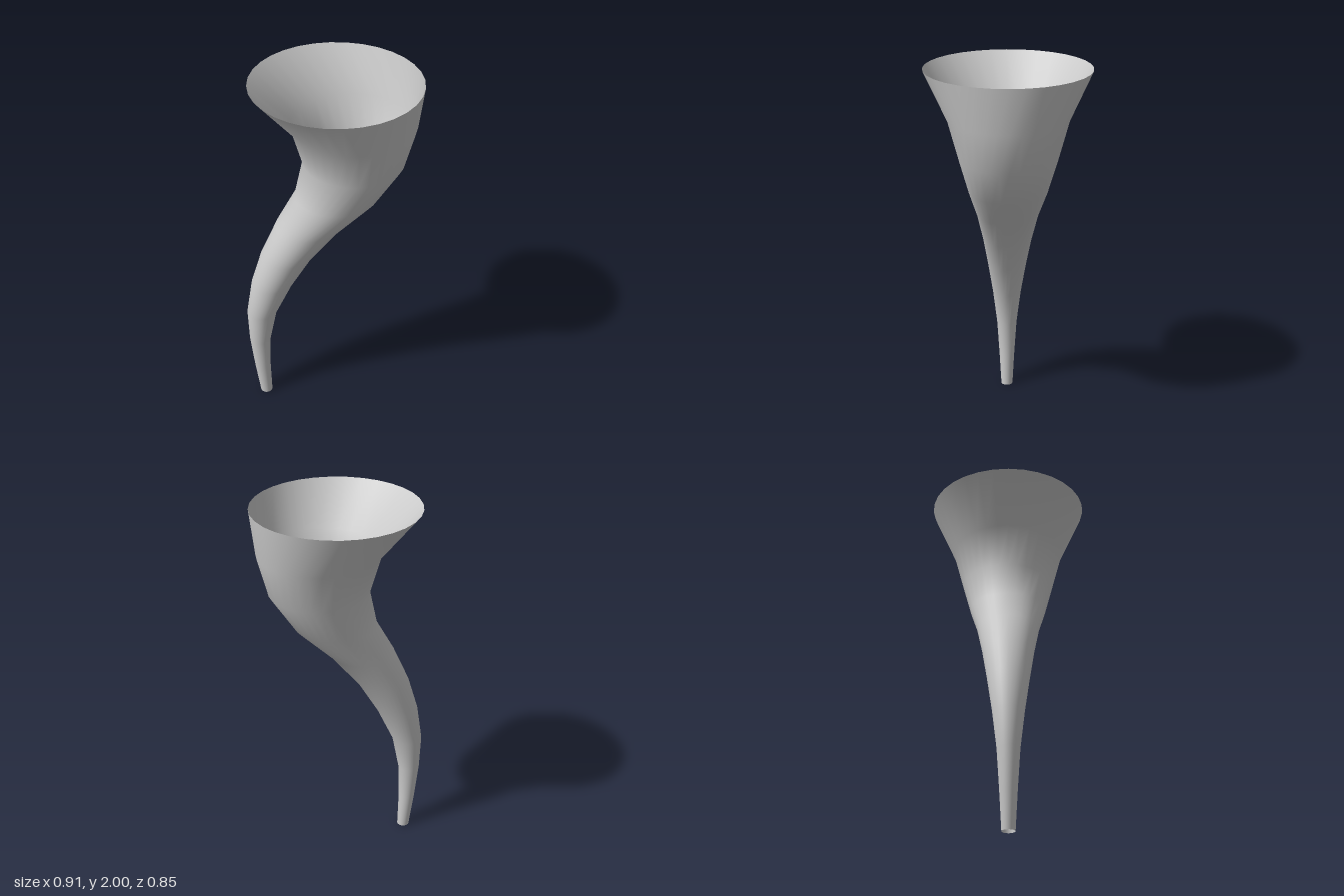
import * as THREE from 'three';

// Horizontal cross-sections, bottom to top: height, centre x, radius in x, radius in z
const RINGS = [
  [0, -0.372, 0.033, 0.033],
  [0.2, -0.387, 0.044, 0.044],
  [0.4, -0.394, 0.058, 0.057],
  [0.6, -0.377, 0.081, 0.08],
  [0.8, -0.315, 0.111, 0.107],
  [0.99, -0.23, 0.138, 0.134],
  [1.18, -0.111, 0.172, 0.165],
  [1.36, 0.032, 0.214, 0.205],
  [1.56, 0.119, 0.257, 0.25],
  [1.77, 0.116, 0.314, 0.306],
  [2, 0.028, 0.427, 0.425],
];
const SIDES = 32;

// Open skin through the rings; the seam shares its vertices so it shades smoothly
function loft(rings, sides) {
  const positions = [];
  const index = [];
  rings.forEach(([y, cx, rx, rz], i) => {
    for (let j = 0; j < sides; j++) {
      const a = (j / sides) * Math.PI * 2;
      positions.push(cx + rx * Math.cos(a), y, rz * Math.sin(a));
      if (i === rings.length - 1) continue;
      const p = i * sides + j;
      const q = i * sides + ((j + 1) % sides);
      index.push(p, p + sides, q, q, p + sides, q + sides);
    }
  });
  const geometry = new THREE.BufferGeometry();
  geometry.setAttribute('position', new THREE.Float32BufferAttribute(positions, 3));
  geometry.setIndex(index);
  geometry.computeVertexNormals();
  return geometry;
}

export function createModel() {
  const group = new THREE.Group();
  group.name = 'curvedHorn';

  // Thin hollow horn, open at the mouth and the tip
  const material = new THREE.MeshStandardMaterial({ color: 0xcccccc, side: THREE.DoubleSide });
  const horn = new THREE.Mesh(loft(RINGS, SIDES), material);
  horn.name = 'hornShell';
  group.add(horn);

  return group;
}
